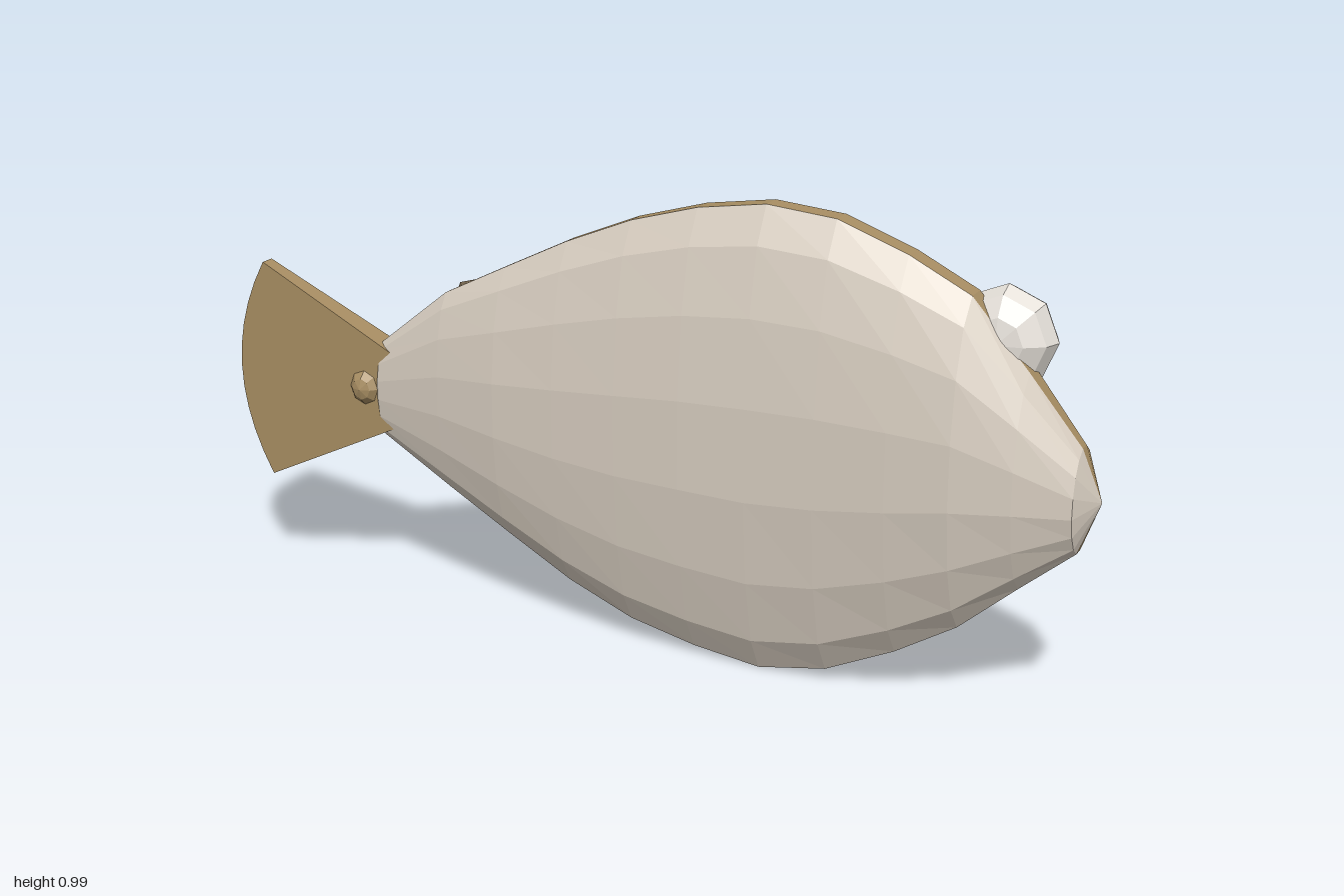
import * as THREE from 'three';

const mat = (name, color) => {
  const m = new THREE.MeshStandardMaterial({ color });
  m.name = name;
  return m;
};

// Body sections: x, centre height, half height, half depth
const SIDES = 16, MID_Z = 0.03;
const SECTIONS = [
  [-0.655, 0.478, 0.002, 0.001], [-0.62, 0.478, 0.107, 0.03], [-0.45, 0.498, 0.222, 0.06],
  [-0.3, 0.495, 0.3, 0.083], [-0.15, 0.492, 0.377, 0.096], [0, 0.493, 0.438, 0.106],
  [0.15, 0.498, 0.476, 0.113], [0.3, 0.5, 0.497, 0.117], [0.45, 0.507, 0.477, 0.12],
  [0.6, 0.515, 0.415, 0.12], [0.73, 0.522, 0.343, 0.118], [0.85, 0.505, 0.222, 0.096],
  [0.96, 0.482, 0.108, 0.062], [1, 0.482, 0.002, 0.001],
];

// Ring point k of a section; the rim is a narrow flat strip
function ringPoint([x, cy, hy, hz], k) {
  const a = ((k + 0.5) / SIDES) * Math.PI * 2;
  return [x, cy + (hy / Math.cos(Math.PI / SIDES)) * Math.cos(a), MID_Z + hz * Math.sin(a)];
}

// Strips of the body skin whose side index passes the test, faceted
function bodySkin(test) {
  const pos = [];
  for (let i = 0; i < SECTIONS.length - 1; i++) {
    for (let k = 0; k < SIDES; k++) {
      if (!test(k)) continue;
      const a = ringPoint(SECTIONS[i], k), b = ringPoint(SECTIONS[i + 1], k);
      const c = ringPoint(SECTIONS[i + 1], k + 1), d = ringPoint(SECTIONS[i], k + 1);
      pos.push(...a, ...d, ...c, ...a, ...c, ...b);
    }
  }
  const g = new THREE.BufferGeometry();
  g.setAttribute('position', new THREE.Float32BufferAttribute(pos, 3));
  g.computeVertexNormals();
  return g;
}

// Depth of the upper-side skin at (x, y)
function backZ(x, y) {
  let i = 0;
  while (i < SECTIONS.length - 2 && SECTIONS[i + 1][0] < x) i++;
  const p = SECTIONS[i], q = SECTIONS[i + 1];
  const t = (x - p[0]) / (q[0] - p[0]);
  const [cy, hy, hz] = [1, 2, 3].map((j) => p[j] + (q[j] - p[j]) * t);
  const v = Math.min(0.98, Math.abs(y - cy) / hy);
  return MID_Z - hz * 0.98 * Math.sqrt(1 - v * v);
}

function backNormal(x, y) {
  const e = 0.03;
  return new THREE.Vector3(
    (backZ(x + e, y) - backZ(x - e, y)) / (2 * e),
    (backZ(x, y + e) - backZ(x, y - e)) / (2 * e), -1).normalize();
}

const flat = (g) => {
  const f = g.index ? g.toNonIndexed() : g;
  f.computeVertexNormals();
  return f;
};

export function createModel() {
  const model = new THREE.Group();
  model.name = 'flatfish';
  const brown = mat('sandy brown', 0xa88e63);
  const belly = mat('pale belly', 0xd6ccbf);
  const spotMat = mat('dark spot', 0x75654e);
  const red = mat('dull red', 0x9a4a42);
  const white = mat('eye white', 0xe6e1da);
  const black = mat('pupil black', 0x0c0c0c);

  const add = (name, geometry, material, parent = model) => {
    const m = new THREE.Mesh(geometry, material);
    m.name = name;
    parent.add(m);
    return m;
  };
  const blob = (name, material, [x, y, z], [rx, ry, rz], w = 8, h = 6) => {
    // Poles point along z so the facets fan out from the middle
    const g = new THREE.SphereGeometry(1, w, h).rotateX(Math.PI / 2).scale(rx, ry, rz);
    const m = add(name, flat(g), material);
    m.position.set(x, y, z);
    return m;
  };

  // Body: pale underside, brown upper side and rim
  add('paleSide', bodySkin((k) => k < 7), belly);
  add('brownSide', bodySkin((k) => k >= 7), brown);

  // Tail root and fan, thinner towards the end
  blob('tailRoot', brown, [-0.66, 0.478, 0.025], [0.045, 0.048, 0.05]);
  const fan = new THREE.Shape();
  fan.moveTo(-0.56, 0.555);
  fan.lineTo(-0.925, 0.73);
  fan.quadraticCurveTo(-1.075, 0.48, -0.925, 0.23);
  fan.lineTo(-0.56, 0.405);
  fan.closePath();
  const fanGeo = new THREE.ExtrudeGeometry(fan, { depth: 1, bevelEnabled: false, curveSegments: 10 });
  const fp = fanGeo.attributes.position;
  for (let i = 0; i < fp.count; i++) {
    const half = 0.014 + (fp.getX(i) + 1) * 0.038;
    fp.setZ(i, 0.026 + (fp.getZ(i) - 0.5) * 2 * half);
  }
  add('tailFin', flat(fanGeo), brown);

  // Small side fin, leaning away from the body
  const fin = new THREE.Shape([[0.48, 0.45], [0.42, 0.425], [0.34, 0.35], [0.34, 0.33], [0.48, 0.335]]
    .map(([x, y]) => new THREE.Vector2(x, y)));
  const finGeo = new THREE.ExtrudeGeometry(fin, { depth: 0.022, bevelEnabled: false });
  const sp = finGeo.attributes.position;
  for (let i = 0; i < sp.count; i++) sp.setZ(i, sp.getZ(i) - 0.106 - (0.48 - sp.getX(i)) * 0.13);
  add('sideFin', flat(finGeo), brown);

  // Two eyes on the upper side
  blob('rimEye', white, [0.782, 0.775, -0.01], [0.105, 0.106, 0.072]);
  blob('innerEye', white, [0.645, 0.685, -0.05], [0.105, 0.106, 0.068]);
  const p1 = blob('rimPupil', black, [0.795, 0.765, -0.068], [0.06, 0.072, 0.03], 10, 6);
  p1.rotation.set(0.2, -0.25, 0);
  const p2 = blob('innerPupil', black, [0.665, 0.683, -0.1], [0.06, 0.072, 0.03], 10, 6);
  p2.rotation.set(0.1, -0.15, 0);
  const glints = [
    [0.808, 0.805, -0.085, 0.024], [0.678, 0.722, -0.122, 0.024],
    [0.77, 0.715, -0.094, 0.01], [0.64, 0.648, -0.121, 0.01],
  ];
  for (const [x, y, z, r] of glints) blob('eyeGlint', white, [x, y, z], [r, r, r], 6, 4);

  // Mouth: a short bent tube
  const lips = new THREE.CurvePath();
  const m = [[0.935, 0.383, -0.032], [0.925, 0.425, -0.058], [0.87, 0.452, -0.07]]
    .map((p) => new THREE.Vector3(...p));
  const arc = new THREE.QuadraticBezierCurve3(m[0], m[1].clone().lerp(m[1], 1), m[2]);
  add('mouth', flat(new THREE.TubeGeometry(arc, 5, 0.014, 6)), red);
  for (const end of [m[0], m[2]]) blob('mouthEnd', red, end.toArray(), [0.013, 0.013, 0.013], 6, 4);

  // Patches lying on the skin: x, y, radius
  const patch = (name, material, x, y, rx, ry) => {
    const s = blob(name, material, [x, y, backZ(x, y)], [rx, ry, 0.016], 7, 4);
    s.quaternion.setFromUnitVectors(new THREE.Vector3(0, 0, -1), backNormal(x, y));
    return s;
  };
  patch('redPatch', red, 0.632, 0.293, 0.057, 0.038);
  const spots = [
    [0.185, 0.895, 0.046], [-0.4, 0.705, 0.05], [-0.5, 0.584, 0.048], [-0.357, 0.51, 0.048],
    [-0.216, 0.33, 0.04], [-0.035, 0.246, 0.06], [-0.028, 0.43, 0.046], [0.21, 0.246, 0.04],
    [-0.2, 0.186, 0.045],
  ];
  for (const [x, y, r] of spots) patch('spot', spotMat, x, y, r, r);

  return model;
}
